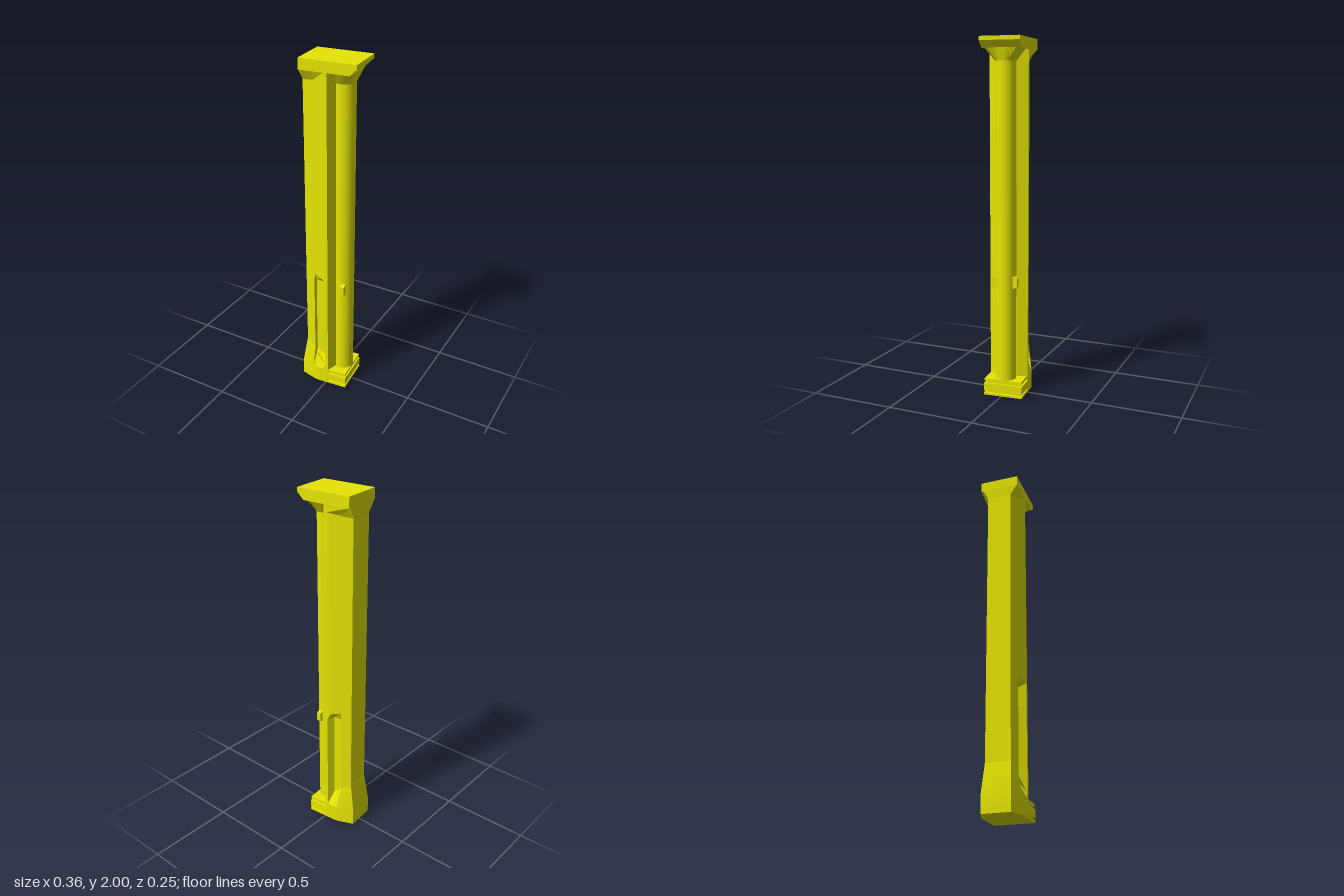
import * as THREE from 'three';
import { toCreasedNormals } from 'three/addons/utils/BufferGeometryUtils.js';

const material = new THREE.MeshStandardMaterial({ color: 0xe6e604 });

// Completes a half outline (+z side, listed from -x to +x) with its mirror image.
// Each point is [x, z, y]; y may be given once for the whole ring.
function ring(half, y) {
  const side = half.map(([x, z, h = y]) => [x, h, z]);
  return [...side, ...side.map(([x, h, z]) => [x, h, -z]).reverse()];
}

// Skins a stack of rings from bottom to top and closes both ends.
function loft(rings, crease = 0.35) {
  const pos = [];
  const tri = (...p) => p.forEach((v) => pos.push(...v));
  const n = rings[0].length;
  for (let r = 0; r + 1 < rings.length; r++) {
    const a = rings[r], b = rings[r + 1];
    for (let i = 0; i < n; i++) {
      const j = (i + 1) % n;
      tri(a[i], a[j], b[j]);
      tri(a[i], b[j], b[i]);
    }
  }
  const lo = rings[0], hi = rings[rings.length - 1];
  for (let i = 1; i < n - 1; i++) {
    tri(lo[0], lo[i + 1], lo[i]);
    tri(hi[0], hi[i], hi[i + 1]);
  }
  const g = new THREE.BufferGeometry();
  g.setAttribute('position', new THREE.Float32BufferAttribute(pos, 3));
  return toCreasedNormals(g, crease);
}

// Extrudes an outline across z, centred on z = 0.
function slab(points, depth) {
  const shape = new THREE.Shape(points.map(([x, y]) => new THREE.Vector2(x, y)));
  return new THREE.ExtrudeGeometry(shape, { depth, bevelEnabled: false }).translate(0, 0, -depth / 2);
}

export function createModel() {
  const model = new THREE.Group();
  model.name = 'pillar';
  const add = (name, geometry) => {
    const mesh = new THREE.Mesh(geometry, material);
    mesh.name = name;
    model.add(mesh);
    return mesh;
  };

  // Wall body: narrows towards the back, with a recess low on each flank
  const flank = (x) => 0.112 + 0.31 * (x + 0.01);
  const section = (recessed) => [
    [-0.147, flank(-0.147)],
    [-0.088, flank(-0.088)],
    [-0.083, recessed ? 0.068 : flank(-0.083)],
    [-0.03, recessed ? 0.072 : flank(-0.03)],
    [-0.01, 0.112], [0.006, 0.112], [0.03, 0.053],
  ];
  const lip = [0.75, 0.75, 0.75, 0.735, 0.725, 0.725, 0.725];
  add('wallBody', loft([
    ring(section(true), 0.08),
    ring(section(true), 0.7),
    ring(section(false).map(([x, z], i) => [x, z, lip[i]])),
    ring(section(false), 1.96),
  ]));

  // Boot: flared foot that tapers up into the wall and its recesses
  const foot = [
    [-0.173, 0.08], [-0.13, 0.094], [-0.09, 0.107], [-0.07, 0.113],
    [-0.03, 0.113], [-0.01, 0.113], [0.004, 0.113],
  ];
  add('boot', loft([
    ring(foot, 0),
    ring(foot, 0.1),
    ring([
      [-0.148, 0.0695, 0.26], [-0.12, 0.0785, 0.25], [-0.088, 0.0885, 0.23], [-0.08, 0.067, 0.22],
      [-0.03, 0.071, 0.18], [-0.01, 0.111, 0.13], [0.004, 0.112, 0.102],
    ]),
  ]));

  // Round column
  const cx = 0.06, radius = 0.058;
  add('column', new THREE.CylinderGeometry(radius, radius, 1.82, 32).translate(cx, 1.0, 0));

  // Plinth: stacked slabs separated by narrow grooves
  const block = (name, y0, y1, inset) => add(name,
    new THREE.BoxGeometry(0.12 - inset, y1 - y0, 0.226 - 2 * inset)
      .translate(0.06 - inset / 2, (y0 + y1) / 2, 0));
  block('plinthCore', 0.001, 0.095, 0.012);
  block('plinthFoot', 0, 0.013, 0);
  block('plinthBlock', 0.024, 0.07, 0);
  block('plinthTop', 0.082, 0.097, 0.003);

  // Lugs on both sides of the column
  for (const s of [1, -1]) {
    const lug = slab([[0.04, 0.622], [0.076, 0.64], [0.076, 0.69], [0.04, 0.702]], 0.025);
    const mesh = add(s > 0 ? 'frontLug' : 'backLug', lug);
    mesh.rotation.y = -s * Math.PI / 2;
    mesh.position.x = 0.078;
  }

  // Column capital: round below, rectangular above
  const round = [], square = [];
  for (let i = 0; i < 32; i++) {
    const t = -(i + 0.5) / 32 * Math.PI * 2;
    const c = Math.cos(t), s = Math.sin(t), m = Math.max(Math.abs(c), Math.abs(s));
    round.push([cx + radius * c, 1.875, radius * s]);
    square.push([cx + 0.01 + 0.064 * c / m, 1.942, 0.1 * s / m]);
  }
  add('columnCapital', loft([round, square], 0.5));

  // Wall capital: small flare under the cap
  add('wallCapital', loft([
    ring([[-0.147, flank(-0.147), 1.88], [-0.08, flank(-0.08), 1.89], [-0.01, 0.112, 1.9], [0.006, 0.111, 1.93]]),
    ring([[-0.151, 0.1], [-0.15, 0.113], [-0.01, 0.1133], [0.01, 0.113]], 1.942),
  ]));

  // Cap slab with an undercut nose
  add('cap', slab([[-0.151, 1.94], [0.13, 1.94], [0.169, 1.978], [0.169, 2], [-0.151, 2]], 0.227));

  model.rotation.y = 0.087;
  return model;
}
